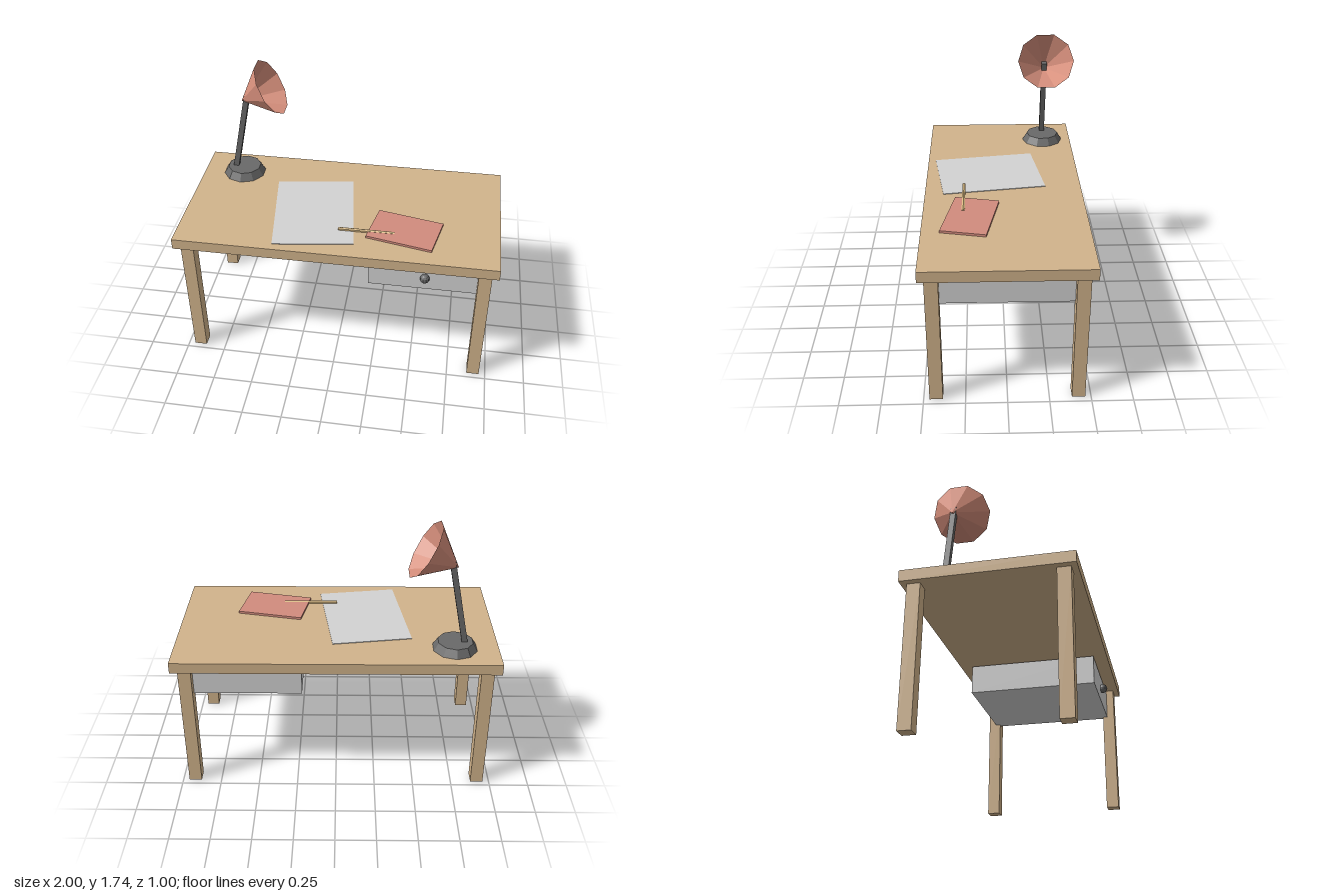
import * as THREE from 'three';

const mat = (name, color, extra = {}) => {
  const m = new THREE.MeshStandardMaterial({ color, flatShading: true, ...extra });
  m.name = name;
  return m;
};

export function createModel() {
  const wood = mat('wood', 0xd2b48c);
  const paleGrey = mat('paleGrey', 0xd3d3d3);
  const metal = mat('darkMetal', 0x696969);
  const shadeRed = mat('shadeRed', 0xd68f7c, { side: THREE.DoubleSide });
  const bookRed = mat('bookRed', 0xd28c7e);
  const pencilTan = mat('pencilTan', 0xd8b880);

  const desk = new THREE.Group();
  desk.name = 'desk';

  const add = (name, geometry, material, x, y, z, parent = desk) => {
    const mesh = new THREE.Mesh(geometry, material);
    mesh.name = name;
    mesh.position.set(x, y, z);
    parent.add(mesh);
    return mesh;
  };
  const box = (w, h, d) => new THREE.BoxGeometry(w, h, d);

  // Table: top and four square legs
  const topY = 0.93;
  add('tableTop', box(2, 0.07, 1), wood, 0, topY - 0.035, 0);
  for (const sx of [-1, 1]) {
    for (const sz of [-1, 1]) {
      add('leg', box(0.08, 0.86, 0.08), wood, sx * 0.92, 0.43, sz * 0.425);
    }
  }

  // Drawer hanging under the top, with a round knob
  add('drawer', box(0.7, 0.19, 0.83), paleGrey, 0.56, 0.755, 0);
  add('drawerKnob', new THREE.SphereGeometry(0.03, 10, 8), metal, 0.56, 0.755, 0.43);

  // Things lying on the desk
  add('paperSheet', box(0.5, 0.004, 0.66), paleGrey, -0.18, topY + 0.002, 0.09).rotation.y = 0.14;
  add('notebook', box(0.42, 0.015, 0.28), bookRed, 0.41, topY + 0.0075, 0.21).rotation.y = -0.2;
  const pencil = add('pencil', new THREE.CylinderGeometry(0.011, 0.011, 0.35, 6), pencilTan, 0.175, 0.941, 0.253);
  pencil.rotation.set(0, Math.PI / 2, Math.PI / 2, 'YXZ');
  pencil.rotation.set(0, 0, Math.PI / 2);
  pencil.geometry.rotateY(Math.PI / 6); // ridge upwards

  // Desk lamp: weighted foot, leaning arm, open cone shade
  const lamp = new THREE.Group();
  lamp.name = 'lamp';
  lamp.position.set(-0.73, topY, -0.3);
  desk.add(lamp);
  add('lampFoot', new THREE.CylinderGeometry(0.11, 0.14, 0.05, 10), metal, 0, 0.025, 0, lamp);
  add('lampArm', box(0.035, 0.56, 0.035), metal, 0, 0.32, 0, lamp).rotation.z = -0.2;
  const shade = new THREE.ConeGeometry(0.186, 0.23, 10, 1, true);
  add('lampShade', shade, shadeRed, 0.116, 0.604, 0, lamp).rotation.z = 2.09;

  return desk;
}
